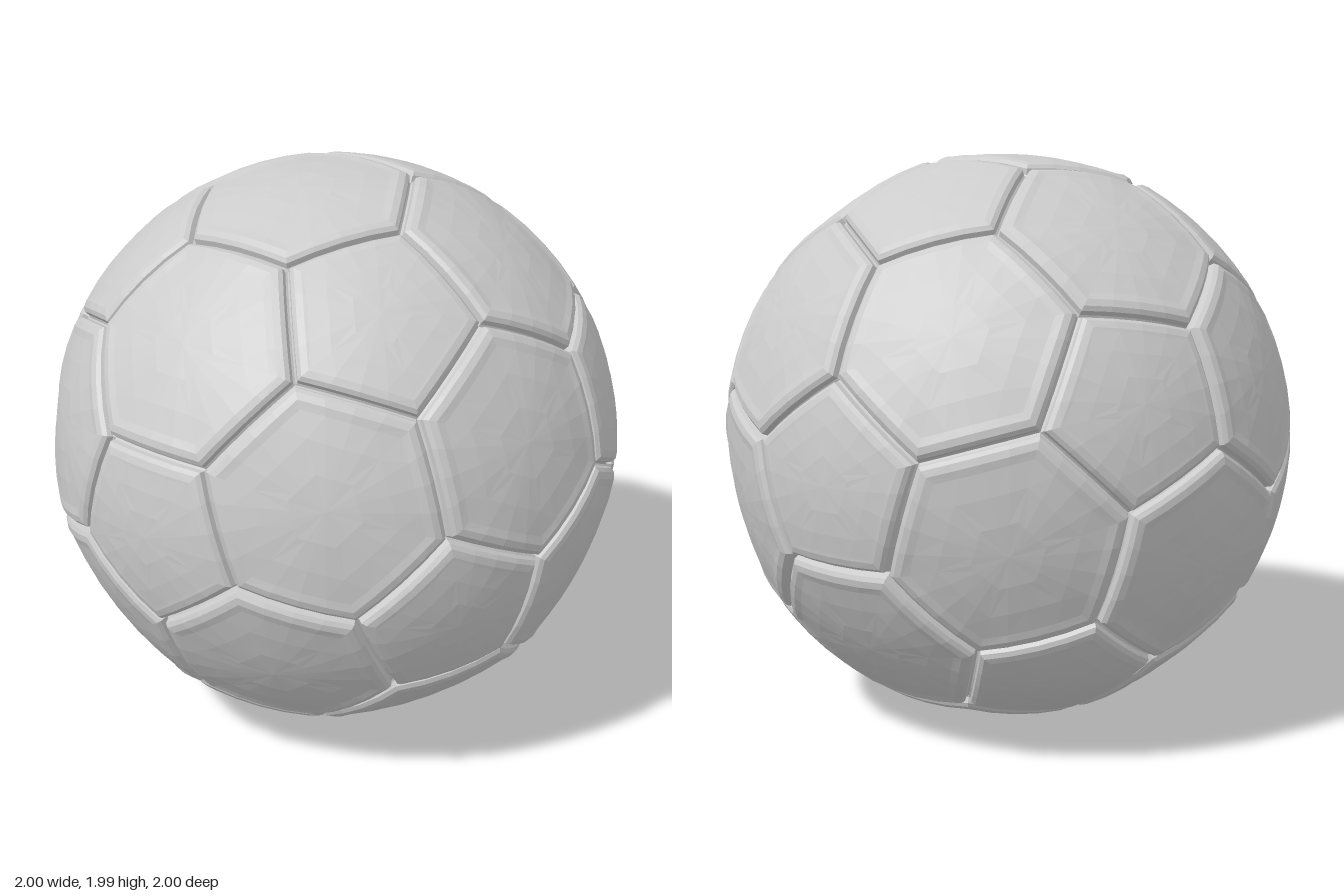
import * as THREE from 'three';

const CENTRE_Y = 0.992;
const SEGMENTS = 4; // facets along each panel edge
// Seam profile: [distance in from the seam, radius]
const SEAM = [[0, 0.962], [0.007, 0.968], [0.012, 0.988], [0.026, 0.998], [0.05, 1.001]];
const DOME = [0.78, 0.55, 0.28]; // inner rings as fractions of the panel

// Twelve pentagon centres: one at the front, one at the back, two rings of five
function pentagonCentres() {
  const s = 1 / Math.sqrt(5);
  const centres = [new THREE.Vector3(0, 0, 1), new THREE.Vector3(0, 0, -1)];
  for (let i = 0; i < 5; i++) {
    const a = -Math.PI / 2 + (i * 2 * Math.PI) / 5;
    const p = new THREE.Vector3(2 * s * Math.cos(a), 2 * s * Math.sin(a), s);
    centres.push(p, p.clone().negate());
  }
  return centres;
}

// Sort corners counter-clockwise as seen from outside
function sortCorners(corners, axis) {
  const u = corners[0].clone().addScaledVector(axis, -corners[0].dot(axis)).normalize();
  const v = axis.clone().cross(u);
  const angle = (p) => Math.atan2(p.dot(v), p.dot(u));
  return corners.slice().sort((a, b) => angle(a) - angle(b));
}

// One domed panel: concentric polygon rings from the sunken seam to the middle
function panelGeometry(corners, middleRadius) {
  const middle = new THREE.Vector3();
  corners.forEach((c) => middle.addScaledVector(c, 1 / corners.length));
  const axis = middle.clone().normalize();
  const ring = sortCorners(corners, axis);
  const apothem = ring[0].clone().add(ring[1]).multiplyScalar(0.5).distanceTo(middle);

  const outline = [];
  ring.forEach((c, i) => {
    const next = ring[(i + 1) % ring.length];
    for (let k = 0; k < SEGMENTS; k++) outline.push(c.clone().lerp(next, k / SEGMENTS));
  });

  const levels = SEAM.map(([inset, r]) => [1 - inset / apothem, r]);
  DOME.forEach((t) => levels.push([t, middleRadius + (1.001 - middleRadius) * t * t]));

  const positions = [];
  const index = [];
  const n = outline.length;
  levels.forEach(([t, r], j) => {
    outline.forEach((p, i) => {
      const q = middle.clone().lerp(p, t).normalize().multiplyScalar(r);
      positions.push(q.x, q.y, q.z);
      if (j === 0) return;
      const i2 = (i + 1) % n;
      const a = (j - 1) * n + i, b = (j - 1) * n + i2;
      const c = j * n + i2, d = j * n + i;
      // alternating diagonals keep the facets irregular
      if ((i + j) % 2) index.push(a, b, c, a, c, d);
      else index.push(a, b, d, b, c, d);
    });
  });

  // centre fan
  axis.multiplyScalar(middleRadius);
  positions.push(axis.x, axis.y, axis.z);
  const base = (levels.length - 1) * n;
  for (let i = 0; i < n; i++) index.push(base + i, base + ((i + 1) % n), levels.length * n);

  const geometry = new THREE.BufferGeometry();
  geometry.setAttribute('position', new THREE.Float32BufferAttribute(positions, 3));
  geometry.setIndex(index);
  geometry.computeVertexNormals();
  return geometry;
}

export function createModel() {
  const ball = new THREE.Group();
  ball.name = 'ball';
  const material = new THREE.MeshStandardMaterial({ color: 0xcccccc, flatShading: true });
  const pentagons = new THREE.Group();
  pentagons.name = 'pentagonPanels';
  const hexagons = new THREE.Group();
  hexagons.name = 'hexagonPanels';
  ball.add(pentagons, hexagons);

  const addPanel = (parent, name, corners, middleRadius) => {
    const mesh = new THREE.Mesh(panelGeometry(corners, middleRadius), material);
    mesh.name = name;
    parent.add(mesh);
  };

  const centres = pentagonCentres();
  const adjacent = (a, b) => a !== b && a.dot(b) > 0.4;
  // seam corner a third of the way from one pentagon centre to the next
  const corner = (a, b) => a.clone().multiplyScalar(2).add(b).normalize();

  // Pentagon around every centre
  centres.forEach((a) => {
    const corners = centres.filter((b) => adjacent(a, b)).map((b) => corner(a, b));
    addPanel(pentagons, 'pentagonPanel', corners, 0.998);
  });

  // Hexagon between every three neighbouring centres
  centres.forEach((a, i) => centres.forEach((b, j) => centres.forEach((c, k) => {
    if (!(i < j && j < k && adjacent(a, b) && adjacent(b, c) && adjacent(a, c))) return;
    const corners = [[a, b], [b, a], [b, c], [c, b], [c, a], [a, c]].map(([p, q]) => corner(p, q));
    addPanel(hexagons, 'hexagonPanel', corners, 0.985);
  })));

  ball.position.y = CENTRE_Y;
  const model = new THREE.Group();
  model.name = 'stitchedBall';
  model.add(ball);
  return model;
}
